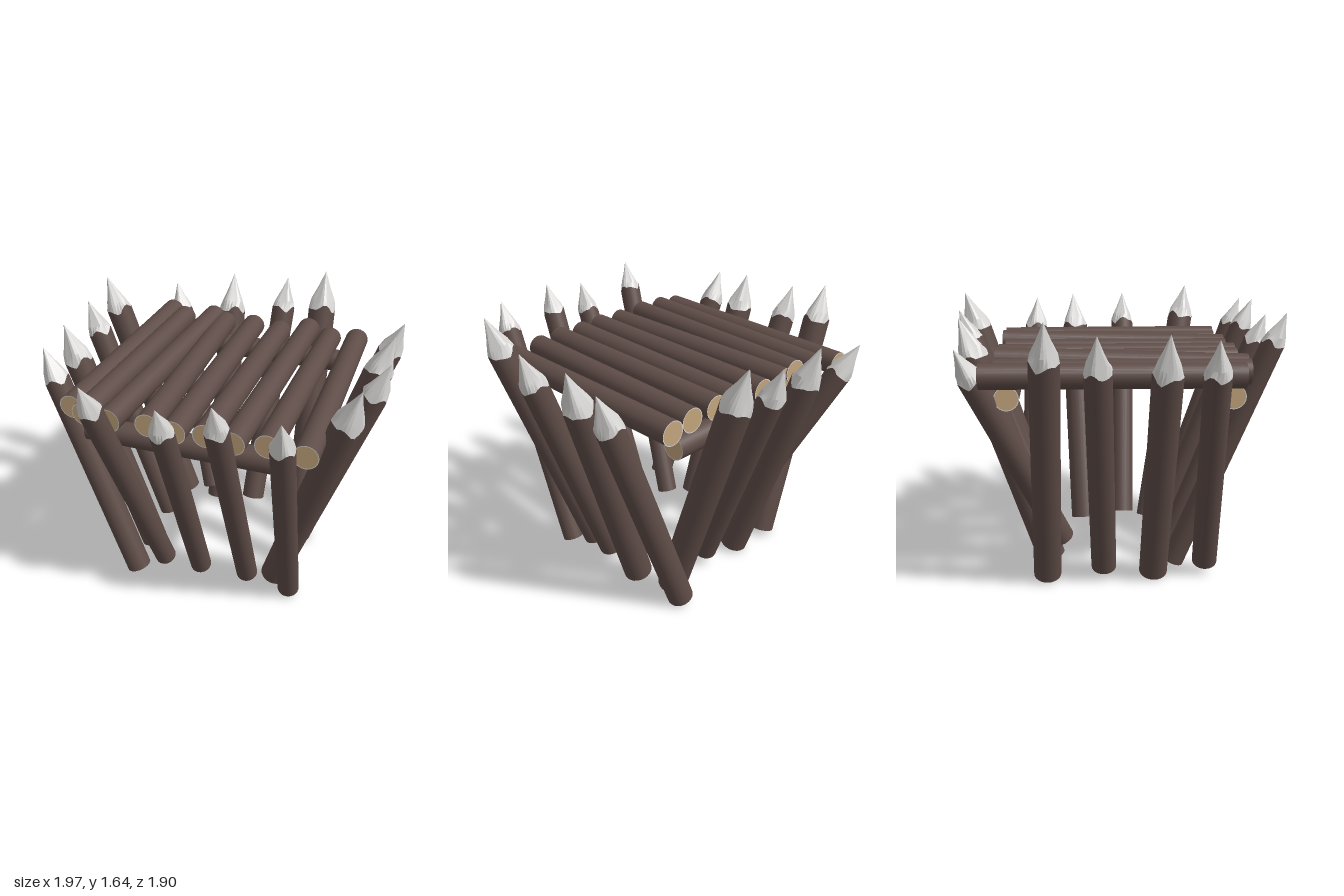
import * as THREE from 'three';
import { toCreasedNormals } from 'three/addons/utils/BufferGeometryUtils.js';

const mat = (name, color) => Object.assign(new THREE.MeshStandardMaterial({ color }), { name });
const bark = mat('bark', 0x5e4c47);
const paleWood = mat('pale carved wood', 0xd6d5d3);
const orangeWood = mat('orange carved wood', 0xc4935c);
const cutWood = mat('cut wood', 0xc3a57c);
const SEG = 24;

function add(parent, name, geometry, material) {
  const mesh = new THREE.Mesh(geometry, material);
  mesh.name = name;
  parent.add(mesh);
  return mesh;
}

// Group whose local y axis runs from a to b
function along(name, a, b) {
  const g = new THREE.Group();
  g.name = name;
  const dir = b.clone().sub(a).normalize();
  g.position.copy(a);
  g.quaternion.setFromUnitVectors(new THREE.Vector3(0, 1, 0), dir);
  return g;
}

// Sawn end: tan disc with a thin pale rim
function addCap(parent, r, y, facing) {
  const disc = add(parent, 'cutEnd', new THREE.CircleGeometry(r * 0.93, SEG), cutWood);
  const rim = add(parent, 'cutEndRim', new THREE.RingGeometry(r * 0.93, r, SEG), paleWood);
  for (const m of [disc, rim]) {
    m.rotation.x = -facing * Math.PI / 2;
    m.position.y = y;
  }
}

function makeLog(name, a, b, r) {
  const g = along(name, a, b), len = a.distanceTo(b);
  const geo = new THREE.CylinderGeometry(r, r, len, SEG, 1, true).translate(0, len / 2, 0);
  add(g, 'logBark', geo, bark);
  addCap(g, r, 0, -1);
  addCap(g, r, len, 1);
  return g;
}

// Pointed stake; the orange patch is centred on the angle patch (degrees, 0 = front)
function makeStake(name, a, b, r, patch, width, seed) {
  const g = along(name, a, b), len = a.distanceTo(b);
  const shoulder = len - r * 2.9;
  // wavy edge where bark meets the carving
  const jag = t => r * (0.28 * Math.abs(Math.sin(t * 2.5 + seed)) + 0.2 * Math.sin(t * 3 + seed * 2));

  const body = new THREE.CylinderGeometry(r, r, shoulder, SEG, 1, true).translate(0, shoulder / 2, 0);
  const p = body.attributes.position;
  for (let i = 0; i < p.count; i++) {
    if (p.getY(i) > shoulder / 2) p.setY(i, shoulder + jag(Math.atan2(p.getX(i), p.getZ(i))));
  }
  add(g, 'stakeBark', body, bark);
  addCap(g, r, 0, -1);

  // carved point: three rings closing on the tip
  const cone = new THREE.CylinderGeometry(0.001, r, 1, SEG, 3, true).translate(0, 0.5, 0);
  const q = cone.attributes.position;
  for (let i = 0; i < q.count; i++) {
    const t = Math.atan2(q.getX(i), q.getZ(i)), row = Math.round(q.getY(i) * 3);
    const cut = 1 + 0.1 * Math.sin(t * 4 + seed);
    const rad = [r, r * 0.8 * cut, r * 0.4 * cut, 0.001][row];
    const y = [shoulder + jag(t), shoulder + r * 0.85, shoulder + r * 1.8, len][row];
    q.setXYZ(i, Math.sin(t) * rad, y, Math.cos(t) * rad);
  }
  const tip = toCreasedNormals(cone, 0.25);
  const v = tip.attributes.position;
  for (let i = 0; i < v.count; i += 3) {
    let x = 0, z = 0, y = 0;
    for (let k = i; k < i + 3; k++) { x += v.getX(k); y += v.getY(k) / 3; z += v.getZ(k); }
    const d = Math.atan2(x, z) - patch * Math.PI / 180;
    const off = Math.abs(Math.atan2(Math.sin(d), Math.cos(d)));
    const high = (y - shoulder) / (len - shoulder);
    const orange = off < width * (high < 0.25 ? 0.6 : 1) || (Math.sin(d * 3 + seed) > 0.9 && high > 0.3);
    tip.addGroup(i, 3, orange ? 1 : 0);
  }
  add(g, 'carvedPoint', tip, [paleWood, orangeWood]);
  return g;
}

export function createModel() {
  const model = new THREE.Group();
  model.name = 'stakePlatform';
  const V = (x, y, z) => new THREE.Vector3(x, y, z);

  // Stakes: base xyz, tip xyz, radius, orange patch angle and half width
  const stakes = {
    frontStake: [
      [-0.31, 0.05, 0.36, -0.47, 1.61, 0.95, 0.067, -25, 0.9],
      [-0.06, 0.05, 0.36, -0.06, 1.55, 0.94, 0.067, 180, 0.7],
      [0.25, 0.05, 0.34, 0.23, 1.61, 0.92, 0.067, -30, 0.9],
      [0.54, 0.05, 0.39, 0.58, 1.58, 0.92, 0.067, 10, 0.5]],
    backStake: [
      [-0.21, 0.18, -0.33, -0.67, 1.46, -0.88, 0.075, 200, 0.6],
      [-0.19, 0.05, -0.4, -0.25, 1.57, -0.9, 0.088, -20, 0.6],
      [0.07, 0.11, -0.38, 0.12, 1.57, -0.94, 0.075, 45, 0.6],
      [0.4, 0.05, -0.42, 0.38, 1.65, -0.93, 0.088, -100, 0.4]],
    rightStake: [
      [-0.45, 0.05, -0.42, -0.97, 1.64, -0.4, 0.082, 185, 0.6],
      [-0.45, 0.09, -0.08, -0.98, 1.57, -0.14, 0.075, 140, 0.6],
      [-0.45, 0.05, 0.22, -0.95, 1.57, 0.23, 0.085, 0, 0.7],
      [-0.42, 0.09, 0.54, -0.95, 1.54, 0.48, 0.075, 30, 0.6]],
    leftStake: [
      [0.45, 0.05, -0.54, 0.97, 1.55, -0.48, 0.078, 70, 0.6],
      [0.46, 0.04, -0.17, 0.95, 1.58, -0.22, 0.088, 190, 0.6],
      [0.45, 0.08, 0.1, 0.98, 1.58, 0.14, 0.078, 90, 0.9],
      [0.42, 0.05, 0.29, 0.9, 1.64, 0.59, 0.085, 60, 1.2]],
  };
  let seed = 1;
  for (const [name, rows] of Object.entries(stakes)) {
    rows.forEach(([bx, by, bz, tx, ty, tz, r, patch, width], i) => {
      model.add(makeStake(name + (i + 1), V(bx, by, bz), V(tx, ty, tz), r, patch, width, seed));
      seed += 1.7;
    });
  }

  // Deck logs: front x, back x, front z, back z
  [[-0.69, -0.65, 0.68, -0.76], [-0.59, -0.53, 0.73, -0.68], [-0.43, -0.32, 0.75, -0.69],
    [-0.21, -0.24, 0.73, -0.68], [-0.05, -0.04, 0.75, -0.69], [0.12, 0.15, 0.73, -0.66],
    [0.28, 0.34, 0.75, -0.69], [0.46, 0.49, 0.72, -0.66], [0.67, 0.66, 0.75, -0.69],
  ].forEach(([fx, bx, fz, bz], i) => {
    const lift = i === 2 || i === 6 ? 0.03 : 0;
    model.add(makeLog('deckLog' + (i + 1), V(bx, 1.31 + lift, bz), V(fx, 1.305, fz), 0.071));
  });

  // Cross beams under the deck
  model.add(makeLog('frontBeam', V(-0.61, 1.165, 0.64), V(0.59, 1.165, 0.64), 0.07));
  model.add(makeLog('backBeam', V(-0.59, 1.17, -0.62), V(0.59, 1.17, -0.62), 0.07));
  return model;
}
